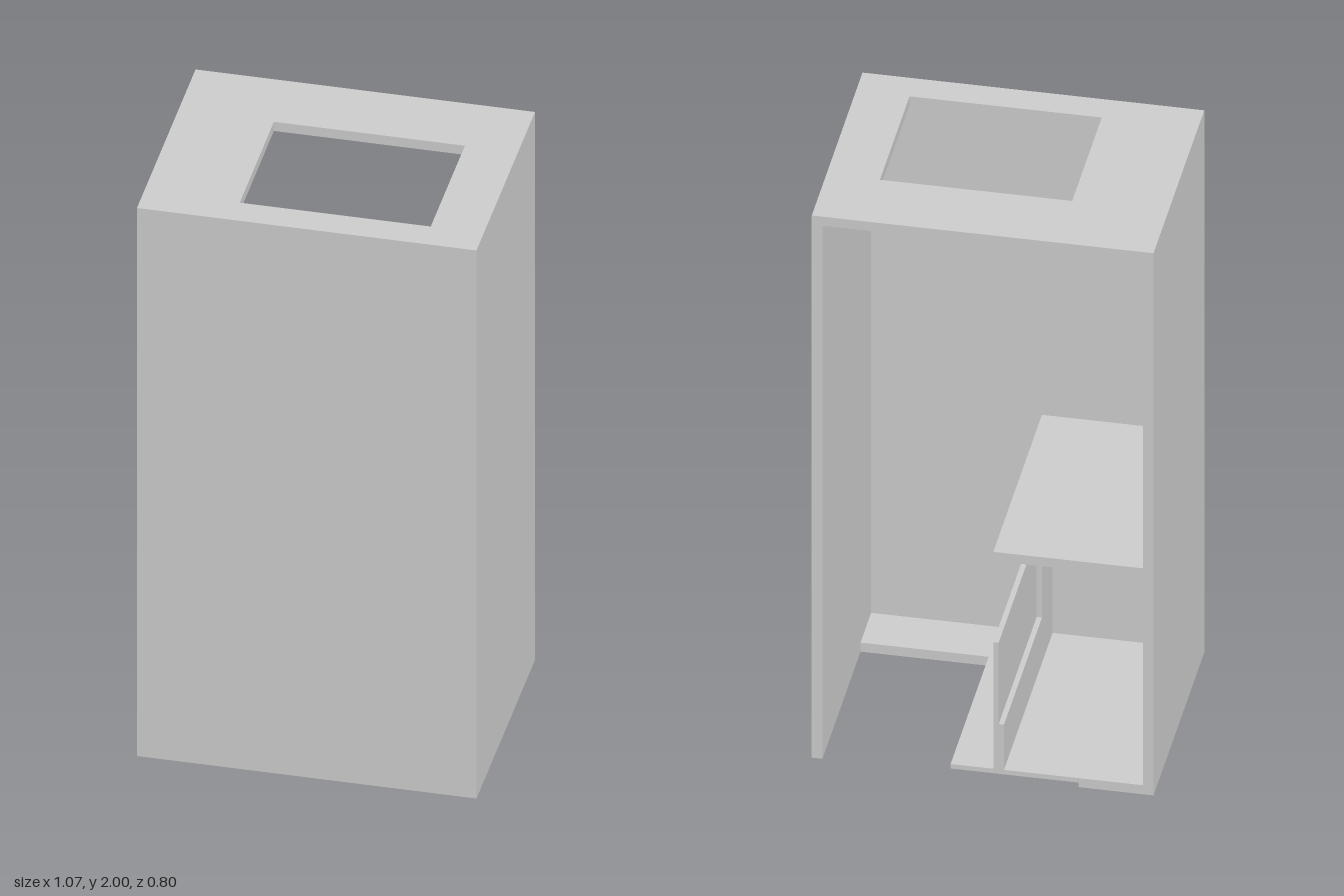
import * as THREE from 'three';

// Dimensions are in board units; the cabinet is 16 wide, 30 high and 12 deep.
const UNIT = 1 / 15;
const T = 0.5; // board thickness
const W = 8, H = 30, D = 6; // half width, height, half depth

export function createModel() {
  const group = new THREE.Group();
  const material = new THREE.MeshStandardMaterial({ color: 0xcccccc });

  const add = (name, geometry) => {
    const mesh = new THREE.Mesh(geometry, material);
    mesh.name = name;
    group.add(mesh);
    return mesh;
  };

  // Box given by its extents on each axis
  const board = (name, [x0, x1], [y0, y1], [z0, z1]) =>
    add(name, new THREE.BoxGeometry(x1 - x0, y1 - y0, z1 - z0))
      .position.set((x0 + x1) / 2, (y0 + y1) / 2, (z0 + z1) / 2);

  const outline = (points) => points.map(([a, b]) => new THREE.Vector2(a, b));
  const rect = (a0, a1, b0, b1) => [[a0, b0], [a1, b0], [a1, b1], [a0, b1]];
  const extrude = (points, hole) => {
    const shape = new THREE.Shape(outline(points));
    if (hole) shape.holes.push(new THREE.Path(outline(hole)));
    return new THREE.ExtrudeGeometry(shape, { depth: T, bevelEnabled: false });
  };

  // Horizontal board drawn in (x, z), hanging below its top height
  const flat = (name, top, points, hole) =>
    add(name, extrude(points, hole).rotateX(Math.PI / 2)).position.y = top;

  // Top with a rectangular opening
  flat('topPanel', H, rect(-W, W, -D, D), rect(-3.5, 5.5, -2.5, 4.5));

  // Base with a large cut-out reaching the open back
  flat('base', T, [[-W, -D], [-4.5, -D], [-4.5, 3], [W - T, 3], [W - T, D], [-W, D]]);

  // Thin floor let into the cut-out, flush with the top of the base
  board('floorInsert', [-4.5, 1.5], [T / 2, T], [-D, 3]);

  // Outer walls; the back stays open
  board('rightWall', [-W, -W + T], [T, H - T], [-D, D]);
  board('leftWall', [W - T, W], [0, H - T], [-D, D]);
  board('frontWall', [-W + T, W - T], [T, H - T], [D - T, D]);

  // Shelf over the side compartment
  board('shelf', [-W + T, -0.5], [12, 12.5], [-D, D - T]);

  // Divider under the shelf, drawn in (z, y): low sill at the back, full height at the front
  add('divider', extrude([[-D, T], [D - T, T], [D - T, 12], [3, 12], [3, 3], [-D, 3]])
    .rotateY(-Math.PI / 2)).position.x = -0.5;

  // Thin panel standing on the sill
  board('dividerPanel', [-0.75, -0.5], [3, 7.5], [-D, 3]);

  group.scale.setScalar(UNIT);
  return group;
}
